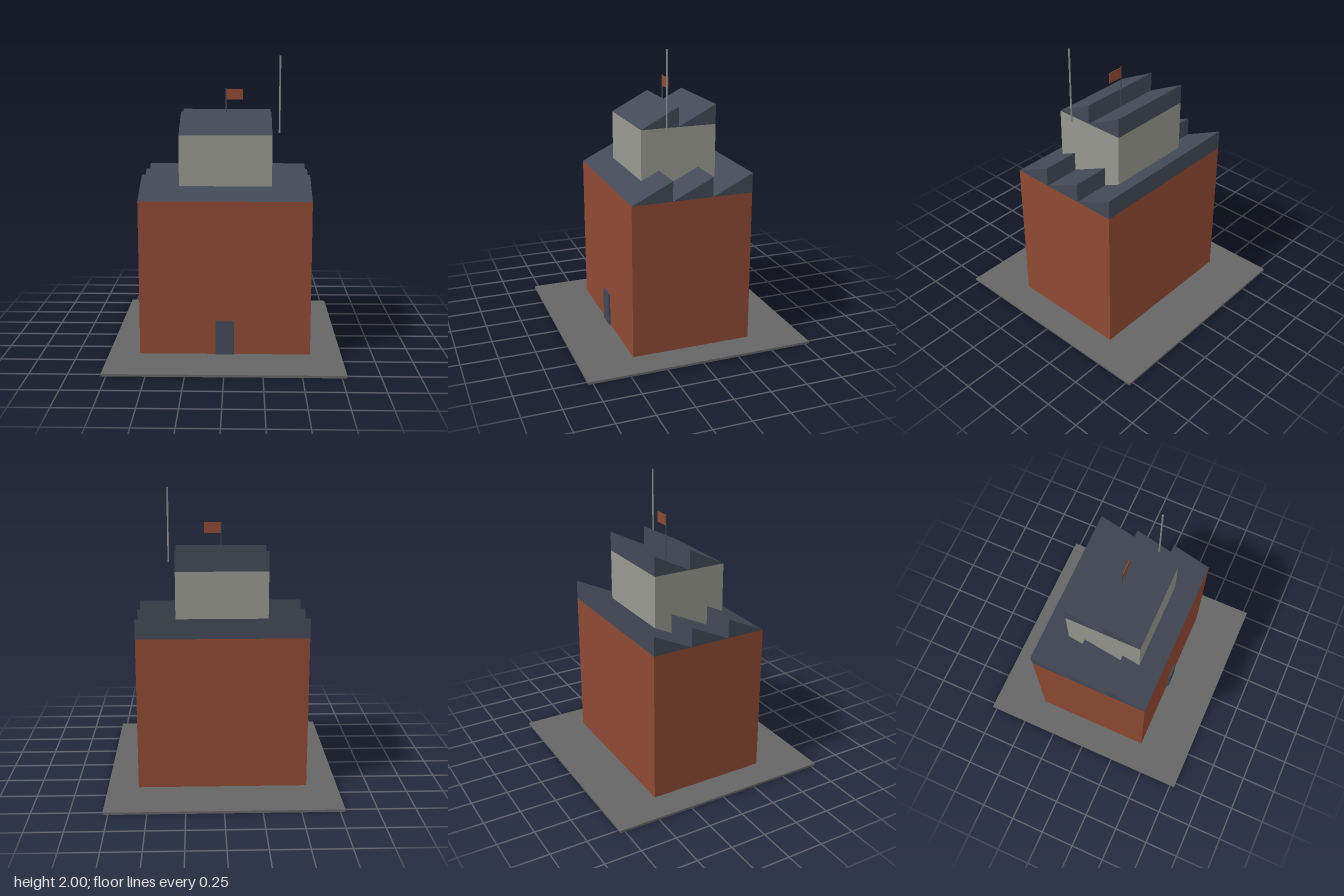
import * as THREE from 'three';

const mat = (name, color) => new THREE.MeshStandardMaterial({ name, color });

export function createModel() {
  const brick = mat('brick', 0x8f4a33);
  const slate = mat('slate', 0x434956);
  const concrete = mat('concrete', 0x979890);
  const asphalt = mat('asphalt', 0x666666);
  const steel = mat('steel', 0x8a8c8c);
  const model = new THREE.Group();
  model.name = 'factory';

  const add = (name, geometry, material, x, y, z) => {
    const mesh = new THREE.Mesh(geometry, material);
    mesh.name = name;
    mesh.position.set(x, y, z);
    model.add(mesh);
  };

  // box standing on height y0
  const block = (name, material, w, h, d, x, y0, z) =>
    add(name, new THREE.BoxGeometry(w, h, d), material, x, y0 + h / 2, z);

  // sawtooth roof: each tooth slopes up from the front to a vertical back
  const sawtooth = (name, w, depth, teeth, rise, y0) => {
    const d = depth / teeth;
    const profile = new THREE.Shape();
    profile.moveTo(0, 0);
    profile.lineTo(d, 0);
    profile.lineTo(d, rise);
    profile.closePath();
    const geometry = new THREE.ExtrudeGeometry(profile, { depth: w, bevelEnabled: false });
    geometry.rotateY(Math.PI / 2); // profile x runs to -z, extrusion runs to +x
    for (let i = 0; i < teeth; i++) {
      add(name + (i + 1), geometry, slate, -w / 2, y0, depth / 2 - i * d);
    }
  };

  block('groundSlab', asphalt, 1.566, 0.016, 1.566, 0, 0, 0);

  // main hall and door
  block('mainHall', brick, 1.148, 1.05, 0.834, 0, 0.014, 0);
  sawtooth('mainRoofTooth', 1.148, 0.834, 3, 0.135, 1.064);
  block('door', slate, 0.124, 0.236, 0.024, 0, 0.014, 0.417);

  // upper storey
  block('upperStorey', concrete, 0.624, 0.417, 0.524, 0, 1.064, 0);
  sawtooth('upperRoofTooth', 0.624, 0.524, 2, 0.135, 1.481);

  // flag and mast
  add('flagPole', new THREE.CylinderGeometry(0.004, 0.004, 0.3, 8), slate, 0, 1.63, 0);
  block('flag', brick, 0.112, 0.073, 0.005, 0.058, 1.7, 0);
  add('antenna', new THREE.CylinderGeometry(0.006, 0.006, 0.519, 8), steel, 0.365, 1.7405, 0.104);

  return model;
}
